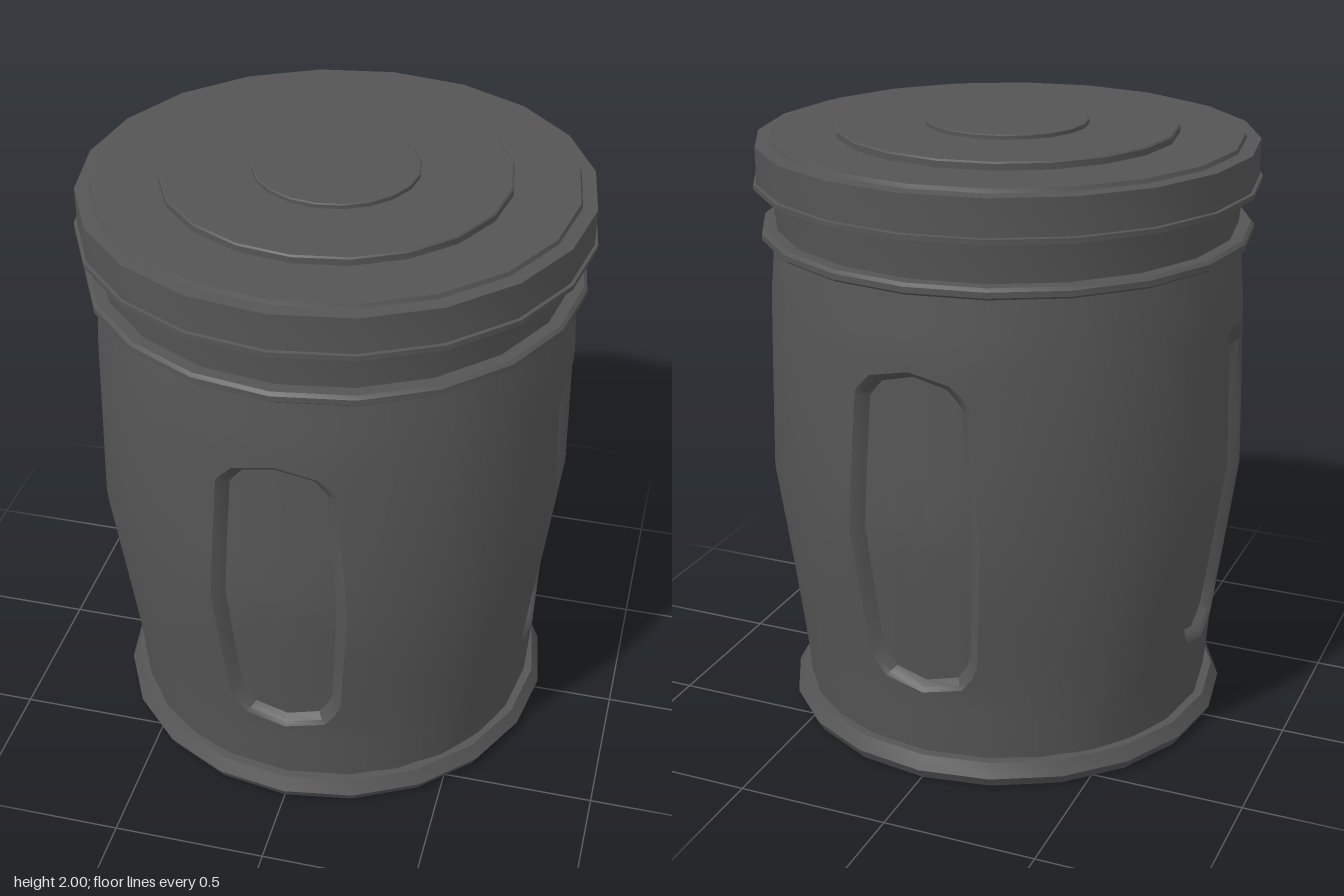
import * as THREE from 'three';
import { mergeVertices, toCreasedNormals } from 'three/addons/utils/BufferGeometryUtils.js';

const material = new THREE.MeshStandardMaterial({ color: 0x555555 });
const SIDES = 20;

function addMesh(group, name, geometry, crease = 0.5) {
  const mesh = new THREE.Mesh(toCreasedNormals(geometry, crease), material);
  mesh.name = name;
  group.add(mesh);
}

// Turned part from [radius, y] pairs, bottom to top
function turned(profile) {
  return new THREE.LatheGeometry(profile.map(([r, y]) => new THREE.Vector2(r, y)), SIDES);
}

// Body radius at a given height
const wall = [[0.685, 0.06], [0.702, 0.29], [0.78, 0.85], [0.765, 1.45], [0.745, 1.66]];
function bodyRadius(y) {
  for (let i = 1; i < wall.length; i++) {
    const [r0, y0] = wall[i - 1], [r1, y1] = wall[i];
    if (y <= y1) return THREE.MathUtils.mapLinear(Math.max(y, y0), y0, y1, r0, r1);
  }
  return wall[wall.length - 1][0];
}

// Recess outline: half width, height, then the matching point
// (degrees, height) on the border of a quarter of the body
const half = [
  [0, 1.40, 0, 1.66], [0.13, 1.37, 18, 1.66], [0.165, 1.335, 32, 1.66],
  [0.185, 1.31, 45, 1.66], [0.203, 1.08, 45, 1.45], [0.218, 0.86, 45, 0.86],
  [0.203, 0.64, 45, 0.4], [0.185, 0.42, 45, 0.06], [0.165, 0.375, 32, 0.06],
  [0.13, 0.33, 18, 0.06], [0, 0.30, 0, 0.06],
];
const outline = [...half, ...half.slice(1, -1).reverse().map(([w, y, a, b]) => [-w, y, -a, b])];

// Body: four quarters, each made of loops from its border into the recess floor
function bodyGeometry() {
  const positions = [], indices = [];
  const loops = [];
  const STEPS = 7;
  for (let k = 0; k <= STEPS; k++) {
    const t = k / STEPS;
    loops.push(outline.map(([w, y, deg, by]) => {
      const inner = Math.asin(w / bodyRadius(y));
      return [THREE.MathUtils.lerp(deg * Math.PI / 180, inner, t), THREE.MathUtils.lerp(by, y, t), 0];
    }));
  }
  // Bevelled wall, then floor: [width scale, height scale, depth]
  const insets = [[0.94, 0.976, 0.012], [0.86, 0.95, 0.04], [0.58, 0.7, 0.04], [0.3, 0.4, 0.04], [0, 0, 0.04]];
  for (const [sw, sy, depth] of insets) {
    loops.push(outline.map(([w, y]) =>
      [Math.asin(w / bodyRadius(y)) * sw, 0.85 + (y - 0.85) * sy, depth]));
  }
  const n = outline.length;
  for (let q = 0; q < 4; q++) {
    const start = positions.length / 3;
    for (const loop of loops) {
      for (const [a, y, depth] of loop) {
        const r = bodyRadius(y) - depth, angle = a + q * Math.PI / 2;
        positions.push(r * Math.sin(angle), y, r * Math.cos(angle));
      }
    }
    for (let k = 0; k < loops.length - 1; k++) {
      for (let i = 0; i < n; i++) {
        const j = (i + 1) % n;
        const a = start + k * n + i, b = start + k * n + j;
        const d = a + n, c = b + n;
        indices.push(a, c, b, a, d, c);
      }
    }
  }
  const geometry = new THREE.BufferGeometry();
  geometry.setAttribute('position', new THREE.Float32BufferAttribute(positions, 3));
  geometry.setIndex(indices);
  return mergeVertices(geometry, 1e-4);
}

export function createModel() {
  const group = new THREE.Group();
  group.name = 'bin';

  addMesh(group, 'body', bodyGeometry());

  // Foot ring with closed underside
  addMesh(group, 'base', turned([
    [0, 0], [0.72, 0], [0.74, 0.035], [0.715, 0.08], [0.67, 0.08],
  ]), 0.4);

  // Neck and the band below it
  addMesh(group, 'neck', turned([[0.74, 1.65], [0.742, 1.69], [0.757, 1.82]]));
  addMesh(group, 'neckBand', turned([
    [0.73, 1.642], [0.78, 1.642], [0.79, 1.65], [0.79, 1.668], [0.78, 1.678], [0.73, 1.678],
  ]));

  // Lid with rim and stepped discs on top
  addMesh(group, 'lid', turned([
    [0, 1.812], [0.81, 1.812], [0.81, 1.828], [0.8, 1.83], [0.8, 1.945],
    [0.755, 1.947], [0.75, 1.96], [0, 1.96],
  ]));
  addMesh(group, 'lidDisc', turned([[0.545, 1.95], [0.545, 1.98], [0.54, 1.985], [0, 1.985]]));
  addMesh(group, 'lidCentre', turned([[0.26, 1.975], [0.26, 1.997], [0.256, 2], [0, 2]]));

  return group;
}
